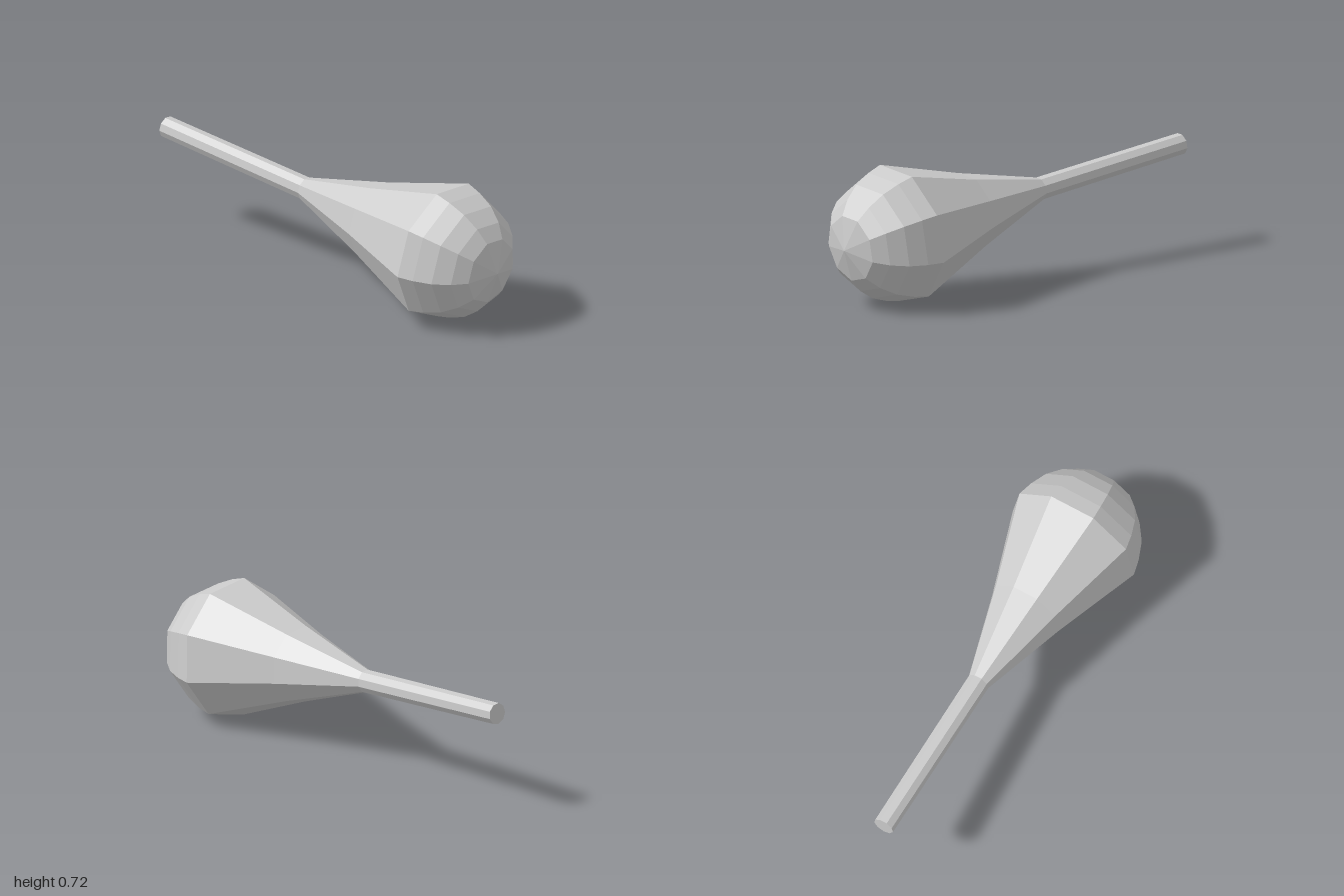
import * as THREE from 'three';

const SIDES = 9;

export function createModel() {
  const model = new THREE.Group();
  model.name = 'maraca';
  const material = new THREE.MeshStandardMaterial({ color: 0xcccccc, flatShading: true });

  // Faceted solid of revolution from [radius, distance along the axis] pairs
  const turned = (name, profile) => {
    const points = profile.map(([r, t]) => new THREE.Vector2(r, t));
    const phase = THREE.MathUtils.degToRad(-24);
    const mesh = new THREE.Mesh(new THREE.LatheGeometry(points, SIDES, phase), material);
    mesh.name = name;
    return mesh;
  };

  const body = new THREE.Group();
  body.name = 'body';

  // Straight handle with a flat end cap
  body.add(turned('handle', [[0, 0], [0.057, 0], [0.0605, 0.966]]));

  // Flaring neck that ends in a domed head
  body.add(turned('head', [
    [0.0605, 0.966], [0.205, 1.45], [0.37, 1.934],
    [0.348, 2.02], [0.309, 2.115], [0.248, 2.196], [0.176, 2.254], [0, 2.3],
  ]));

  // Lay the axis from the handle end towards the front left, dipping slightly
  const axis = new THREE.Vector3(0.83, -0.091, 0.55).normalize();
  const side = axis.clone().cross(new THREE.Vector3(0, 1, 0)).normalize();
  const up = side.clone().cross(axis);
  body.quaternion.setFromRotationMatrix(new THREE.Matrix4().makeBasis(side, axis, up));
  body.position.set(-0.97, 0.545, -0.685);

  model.add(body);
  return model;
}
